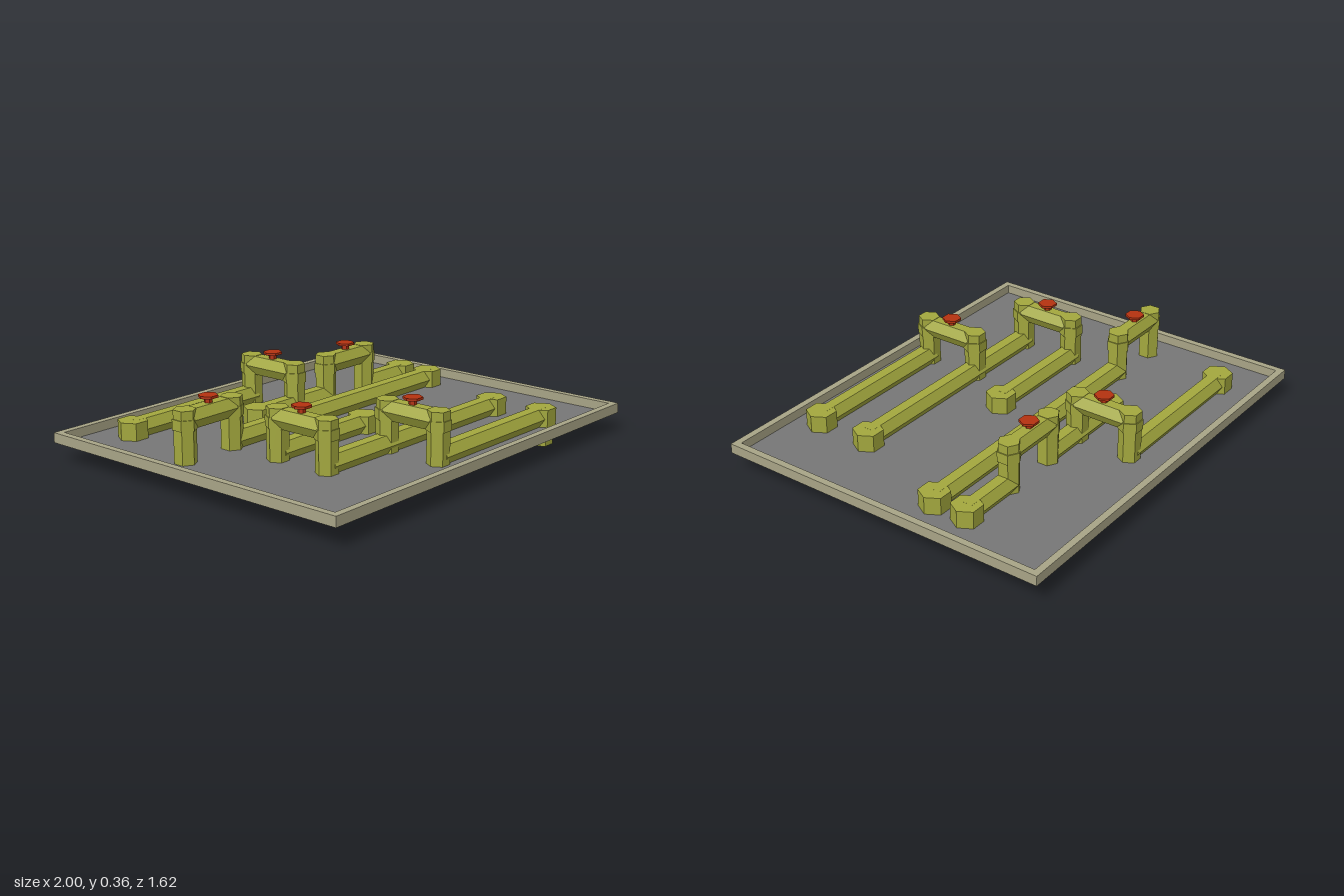
import * as THREE from 'three';

const paint = (color) => new THREE.MeshStandardMaterial({ color, flatShading: true });

export function createModel() {
  const model = new THREE.Group();
  const pipeMat = paint(0xa3a83e), trayMat = paint(0xa8a486);
  const floorMat = paint(0x777777), valveMat = paint(0xb53210);

  const add = (name, geometry, material, x, y, z, parent = model) => {
    const mesh = new THREE.Mesh(geometry, material);
    mesh.name = name;
    mesh.position.set(x, y, z);
    parent.add(mesh);
    return mesh;
  };

  // Upright hexagonal prism between two heights; corners point along x or z
  const post = (name, r, y0, y1, x, z, pointX, material = pipeMat, parent = model) => {
    const g = new THREE.CylinderGeometry(r, r, y1 - y0, 6);
    if (pointX) g.rotateY(Math.PI / 2);
    return add(name, g, material, x, (y0 + y1) / 2, z, parent);
  };

  // Lying hexagonal pipe with a flat top, along x or z
  const R = 0.05, LOW = 0.128, HIGH = 0.28;
  const pipe = (name, x0, z0, x1, z1, y, parent = model) => {
    const g = new THREE.CylinderGeometry(R, R, Math.hypot(x1 - x0, z1 - z0), 6);
    g.rotateZ(Math.PI / 2);
    if (x0 === x1) g.rotateY(Math.PI / 2);
    return add(name, g, pipeMat, (x0 + x1) / 2, y, (z0 + z1) / 2, parent);
  };

  // Tray: floor sheet and a raised rim
  const W = 1, D = 0.81, T = 0.032;
  add('trayFloor', new THREE.BoxGeometry(2 * W - T, 0.004, 2 * D - T), floorMat, 0, 0.089, 0);
  const rim = new THREE.Shape([[-W, -D], [W, -D], [W, D], [-W, D]].map((p) => new THREE.Vector2(...p)));
  rim.holes.push(new THREE.Path(
    [[-W + T, -D + T], [-W + T, D - T], [W - T, D - T], [W - T, -D + T]].map((p) => new THREE.Vector2(...p))));
  const rimGeo = new THREE.ExtrudeGeometry(rim, { depth: 0.046, bevelEnabled: false });
  rimGeo.rotateX(-Math.PI / 2);
  add('trayRim', rimGeo, trayMat, 0, 0.087, 0);

  // Pipes lying on the floor: z, start x, end x
  for (const [z, x0, x1] of [
    [-0.6, -0.73, 0.025], [-0.33, -0.22, 0.245], [-0.33, 0.525, 0.81],
    [-0.163, -0.555, 0.81], [0.1, -0.55, 0.005], [0.372, -0.55, 0.604], [0.644, -0.16, 0.604],
  ]) pipe('floorPipe', x0, z, x1, z, LOW);

  // Pipe ends: a wide collar with an outlet running down through the floor
  for (const [x, z] of [
    [-0.73, -0.6], [-0.22, -0.33], [0.81, -0.33], [0.81, -0.163], [0.005, 0.1], [0.604, 0.372], [0.604, 0.644],
  ]) {
    post('endCollar', 0.069, 0.09, 0.171, x, z, true);
    post('outletLeg', 0.058, 0, 0.1, x, z, true);
  }

  // Raised bridges: two risers, a crossing pipe and a valve in the middle
  for (const [x0, z0, x1, z1] of [
    [-0.83, -0.163, -0.555, -0.163], [0.245, -0.33, 0.525, -0.33],
    [-0.55, 0.1, -0.55, 0.372], [-0.16, 0.372, -0.16, 0.644], [0.025, -0.6, 0.025, -0.33],
  ]) {
    const bridge = new THREE.Group();
    bridge.name = 'valveBridge';
    model.add(bridge);
    const alongZ = x0 === x1;
    for (const [x, z] of [[x0, z0], [x1, z1]]) {
      post('riser', R, 0.085, 0.325, x, z, alongZ, pipeMat, bridge);
      post('riserSleeve', 0.055, 0.238, 0.285, x, z, alongZ, pipeMat, bridge);
    }
    pipe('crossPipe', x0, z0, x1, z1, HIGH, bridge);
    const x = (x0 + x1) / 2, z = (z0 + z1) / 2;
    post('valveStem', 0.018, 0.31, 0.35, x, z, true, valveMat, bridge);
    post('valveWheel', 0.044, 0.346, 0.357, x, z, true, valveMat, bridge);
  }

  return model;
}
